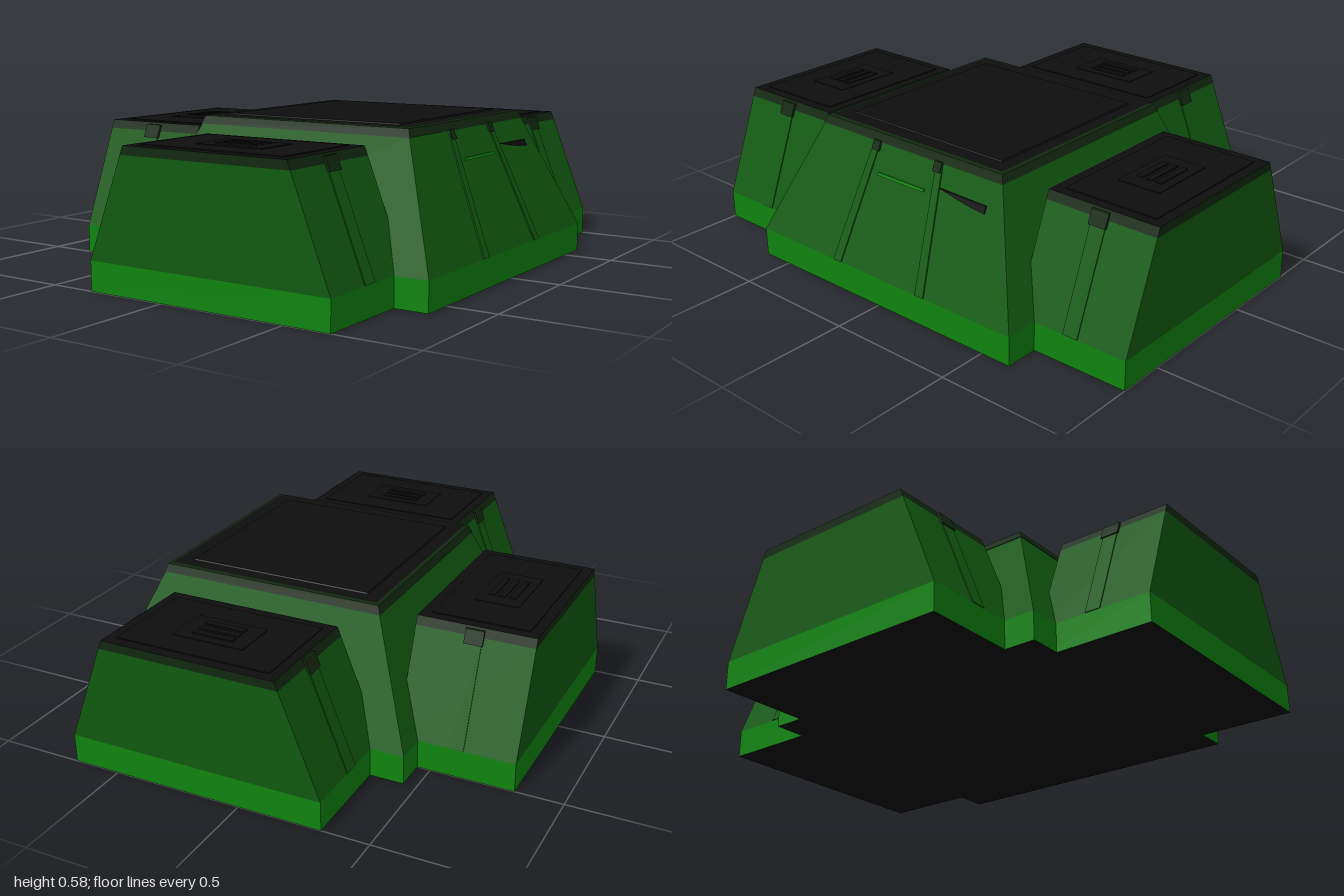
import * as THREE from 'three';

const mat = (name, color) => Object.assign(new THREE.MeshStandardMaterial({ color }), { name });

// Stacked rectangles [x0, x1, z0, z1, y]; group 0 = sides, 1 = top, 2 = bottom
function loft(rings) {
  const pos = [];
  const geo = new THREE.BufferGeometry();
  const corners = ([x0, x1, z0, z1, y]) => [[x0, y, z1], [x1, y, z1], [x1, y, z0], [x0, y, z0]];
  const quad = (a, b, c, d) => pos.push(...a, ...b, ...c, ...a, ...c, ...d);
  for (let r = 0; r < rings.length - 1; r++) {
    const lo = corners(rings[r]), hi = corners(rings[r + 1]);
    for (let i = 0; i < 4; i++) quad(lo[i], lo[(i + 1) % 4], hi[(i + 1) % 4], hi[i]);
  }
  const sides = pos.length / 3;
  quad(...corners(rings[rings.length - 1]));
  quad(...corners(rings[0]).reverse());
  geo.setAttribute('position', new THREE.Float32BufferAttribute(pos, 3));
  geo.addGroup(0, sides, 0);
  geo.addGroup(sides, 6, 1);
  geo.addGroup(sides + 6, 6, 2);
  geo.computeVertexNormals();
  return geo;
}

export function createModel() {
  const wall = mat('wall green', 0x115a11);
  const base = mat('base green', 0x0f840f);
  const band = mat('roof edge green', 0x11280f);
  const black = mat('roof black', 0x0e0e0e);

  const add = (parent, name, geo, material) => {
    const mesh = new THREE.Mesh(geo, material);
    mesh.name = name;
    parent.add(mesh);
    return mesh;
  };

  const model = new THREE.Group();
  model.name = 'building';
  const body = new THREE.Group();
  body.name = 'body';
  body.position.x = 0.18;
  model.add(body);

  // Main hall: plinth, sloping walls, dark roof edge, roof panel
  const hall = new THREE.Group();
  hall.name = 'mainHall';
  body.add(hall);
  const hallX = y => 0.63 - 0.195 * Math.max(0, y - 0.11) / 0.47;
  const hallRing = (y, grow = 0) => {
    const x = hallX(y) + grow, z = x - 0.007;
    return [-x, x, -z, z, y];
  };
  add(hall, 'hallBase', loft([hallRing(0), hallRing(0.11)]), [base, base, black]);
  add(hall, 'hallWalls', loft([hallRing(0.11), hallRing(0.545)]), wall);
  add(hall, 'hallRoofEdge', loft([hallRing(0.545, 0.003), hallRing(0.575, 0.003), hallRing(0.578, -0.01)]), [band, black, band]);
  add(hall, 'hallRoofPanel', loft([[-0.37, 0.37, -0.37, 0.37, 0.576], [-0.365, 0.365, -0.365, 0.365, 0.583]]), black);

  // Thin plate lying on the sloping +x wall, outlined by [z, y] points
  const wallPlate = (name, points, thickness, material) => {
    const shape = new THREE.Shape(points.map(([z, y]) => new THREE.Vector2(-z, y)));
    const geo = new THREE.ExtrudeGeometry(shape, { depth: thickness, bevelEnabled: false });
    geo.rotateY(Math.PI / 2);
    const p = geo.attributes.position;
    for (let i = 0; i < p.count; i++) p.setX(i, p.getX(i) + hallX(p.getY(i)));
    geo.computeVertexNormals();
    add(hall, name, geo, material);
  };
  for (const s of [-1, 1]) {
    wallPlate('wallRib', [[s * 0.19, 0.112], [s * 0.23, 0.112], [s * 0.17, 0.545], [s * 0.14, 0.545]], 0.005, wall);
    wallPlate('wallClip', [[s * 0.135, 0.515], [s * 0.17, 0.515], [s * 0.17, 0.55], [s * 0.135, 0.55]], 0.009, band);
  }
  wallPlate('lightStrip', [[-0.115, 0.437], [0.115, 0.437], [0.115, 0.446], [-0.115, 0.446]], 0.005, base);
  wallPlate('ventSlot', [[-0.18, 0.468], [-0.4, 0.465], [-0.4, 0.44], [-0.31, 0.448]], 0.006, black);

  // Side wing pointing along +z, with sloping flanks and upright ends
  const wingX = y => 0.5 - 0.16 * Math.max(0, y - 0.11) / 0.41;
  const wingRing = (y, z0 = 0.55, z1 = 1, grow = 0) => [-wingX(y) - grow, wingX(y) + grow, z0, z1, y];
  const plate = (x, z0, z1, y0, y1) => loft([[-x, x, z0, z1, y0], [-x, x, z0, z1, y1]]);

  function createWing(name, angle) {
    const wing = new THREE.Group();
    wing.name = name;
    wing.rotation.y = angle;
    add(wing, 'wingBase', loft([wingRing(0), wingRing(0.11)]), [base, base, black]);
    add(wing, 'wingWalls', loft([wingRing(0.11), wingRing(0.49)]), wall);
    add(wing, 'wingRoofEdge', loft([wingRing(0.49), wingRing(0.523)]), [band, black, band]);
    add(wing, 'wingRoofPanel', plate(0.3, 0.59, 0.96, 0.522, 0.527), black);
    // Ribs and clips run through the wing and show on both flanks
    add(wing, 'flankRibs', loft([wingRing(0.112, 0.745, 0.805, 0.004), wingRing(0.489, 0.745, 0.805, 0.004)]), wall);
    add(wing, 'flankClips', loft([wingRing(0.465, 0.74, 0.81, 0.01), wingRing(0.515, 0.74, 0.81, 0.01)]), band);
    // Stepped hatch with slats
    add(wing, 'roofHatch', plate(0.14, 0.69, 0.86, 0.526, 0.53), black);
    for (let i = -1; i <= 1; i++) {
      const z = 0.775 + i * 0.04;
      add(wing, 'hatchSlat', plate(0.08, z - 0.012, z + 0.012, 0.529, 0.535), black);
    }
    body.add(wing);
  }
  createWing('frontWing', 0);
  createWing('backWing', Math.PI);
  createWing('rightWing', -Math.PI / 2);

  return model;
}
